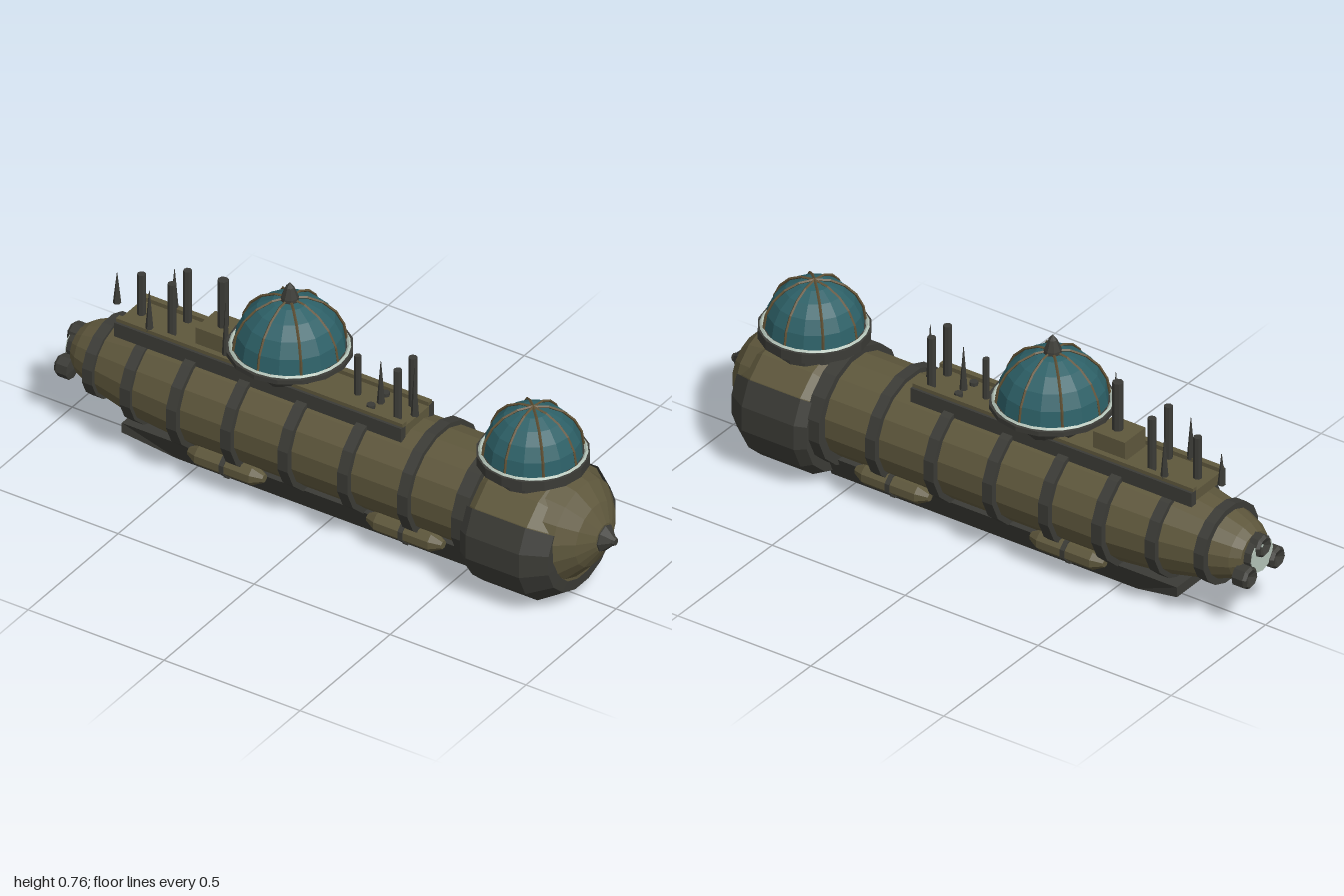
import * as THREE from 'three';

const mat = (name, color) => {
  const m = new THREE.MeshStandardMaterial({ color, flatShading: true, side: THREE.DoubleSide });
  m.name = name;
  return m;
};

export function createModel() {
  const olive = mat('olive plate', 0x5e573c);
  const dark = mat('dark iron', 0x3b3b36);
  const teal = mat('teal glass', 0x2d6067);
  const brass = mat('brown brass', 0x5f5034);
  const pale = mat('pale trim', 0xb4c3b8);

  const model = new THREE.Group();
  const add = (name, geo, material, x = 0, y = 0, z = 0, parent = model) => {
    const mesh = new THREE.Mesh(geo, material);
    mesh.name = name;
    mesh.position.set(x, y, z);
    parent.add(mesh);
    return mesh;
  };

  // Lathe along x from [x, radius] pairs, squashed vertically by sy
  const rad = Math.PI / 180;
  const lathe = (pts, sy = 1, segs = 16, start = -33.75, sweep = 360) =>
    new THREE.LatheGeometry(pts.map(([x, r]) => new THREE.Vector2(r, x)), segs, start * rad, sweep * rad)
      .rotateZ(-Math.PI / 2).scale(1, sy, 1);
  const box = (w, h, d) => new THREE.BoxGeometry(w, h, d);
  const cyl = (rt, rb, h, n = 8) => new THREE.CylinderGeometry(rt, rb, h, n);

  // Hull and its ring bands
  add('hull', lathe([[-0.96, 0], [-0.96, 0.075], [-0.93, 0.098], [-0.85, 0.13], [-0.69, 0.165],
    [-0.5, 0.182], [0.6, 0.182]], 0.92), olive, 0, 0.25);
  const bands = [[-0.85, 0.147], [-0.69, 0.18], [-0.505, 0.203], [-0.305, 0.203], [-0.095, 0.203],
    [0.125, 0.203], [0.345, 0.203]];
  for (const [x, r] of bands) {
    add('hullBand', lathe([[-0.019, r - 0.04], [-0.019, r], [0.019, r], [0.019, r - 0.04]], 0.9), dark, x, 0.25);
  }
  add('headCollar', lathe([[0.53, 0.15], [0.53, 0.212], [0.58, 0.212], [0.58, 0.15]], 0.91), dark, 0, 0.245);

  // Head: olive shell, front cap, dark jaw wrapped below, nose
  add('headShell', lathe([[0.573, 0.1], [0.573, 0.208], [0.61, 0.236], [0.8, 0.234], [0.87, 0.18], [0.875, 0.1]], 0.905),
    olive, 0, 0.219);
  add('headCap', lathe([[0.79, 0.195], [0.875, 0.17], [0.925, 0.113], [0.958, 0.05], [0.96, 0]], 0.94), olive, 0, 0.25);
  add('jaw', lathe([[0.57, 0.15], [0.57, 0.222], [0.605, 0.243], [0.8, 0.243], [0.875, 0.19], [0.878, 0.15]],
    0.905, 11, -33.75, 247.5), dark, 0, 0.217);
  add('nose', lathe([[0.945, 0.045], [0.962, 0.045], [0.99, 0.016], [1, 0.012], [1, 0]], 1, 8, 0), dark, 0, 0.248);

  // Tail nozzles around a pale end disc
  add('tailHub', lathe([[-0.985, 0.058], [-0.95, 0.062]], 1, 12), dark, 0, 0.25);
  add('tailDisc', lathe([[-0.988, 0], [-0.988, 0.057], [-0.982, 0.057]], 1, 12), pale, 0, 0.25);
  for (const [y, z] of [[0.283, 0], [0.205, 0.073], [0.205, -0.073]]) {
    add('tailNozzle', lathe([[-0.985, 0], [-1, 0.03], [-0.99, 0.038], [-0.95, 0.038], [-0.945, 0]], 1, 8), dark, 0, y, z);
  }

  // Keel: side outline with a narrower bottom
  const keelShape = new THREE.Shape([[-0.745, 0.1], [-0.745, 0.065], [-0.57, 0.013], [0.58, 0.013], [0.58, 0.1]]
    .map(([x, y]) => new THREE.Vector2(x, y)));
  const keel = new THREE.ExtrudeGeometry(keelShape, { depth: 0.22, bevelEnabled: false }).translate(0, 0, -0.11);
  const kp = keel.attributes.position;
  for (let i = 0; i < kp.count; i++) if (kp.getY(i) < 0.05) kp.setZ(i, kp.getZ(i) * 0.65);
  add('keel', keel, dark);

  // Side pods with dark straps
  for (const side of [1, -1]) {
    for (const x of [-0.348, 0.31]) {
      add('sidePod', lathe([[-0.138, 0], [-0.138, 0.014], [-0.1, 0.034], [0.1, 0.034], [0.138, 0.014], [0.138, 0]],
        1, 8, 22.5), olive, x, 0.102, side * 0.125);
      add('podStrap', lathe([[-0.008, 0.025], [-0.008, 0.038], [0.008, 0.038], [0.008, 0.025]], 1, 8, 22.5),
        dark, x, 0.102, side * 0.125);
      add('podBracket', box(0.02, 0.04, 0.06), dark, x, 0.075, side * 0.1);
    }
  }

  // Deck with rails along both edges
  add('deck', box(1.055, 0.035, 0.13), olive, -0.258, 0.425);
  for (const side of [1, -1]) {
    add('deckRail', box(1.055, 0.05, 0.026), dark, -0.258, 0.42, side * 0.078);
    add('deckRailCap', box(1.055, 0.014, 0.02), olive, -0.258, 0.45, side * 0.072);
  }
  add('deckHouse', box(0.12, 0.07, 0.11), olive, -0.45, 0.475);

  // Funnels: x, z, top, radius
  const funnels = [[-0.745, 0, 0.59, 0.014], [-0.605, 0.042, 0.63, 0.014], [-0.605, -0.045, 0.63, 0.014],
    [-0.445, 0, 0.68, 0.018], [0.05, 0, 0.585, 0.011], [0.225, 0.042, 0.62, 0.014], [0.225, -0.042, 0.62, 0.014]];
  for (const [x, z, top, r] of funnels) add('funnel', cyl(r, r, top - 0.42), dark, x, (top + 0.42) / 2, z);
  // Spikes: x, z, base, top
  const spikes = [[-0.835, 0, 0.45, 0.56], [-0.67, 0.07, 0.45, 0.595], [-0.67, -0.07, 0.45, 0.595],
    [-0.395, 0.06, 0.45, 0.665], [0.135, 0, 0.44, 0.595], [0.26, 0, 0.44, 0.63]];
  for (const [x, z, y0, y1] of spikes) add('spike', cyl(0.001, 0.013, y1 - y0, 6), dark, x, (y0 + y1) / 2, z);
  for (const z of [0.04, -0.04]) add('deckBollard', cyl(0.014, 0.014, 0.02), dark, 0.125, 0.445, z);

  // Glass dome with ribs, ring and trim; local origin at the glass base
  const makeDome = (name, x, y, r, h, ringR, ringH, ringTaper, segs) => {
    const g = new THREE.Group();
    g.name = name;
    g.position.set(x, y, 0);
    model.add(g);
    add('domeRing', cyl(ringR, ringR, ringH, 16), dark, 0, -ringH / 2, 0, g);
    add('domeRingUnderside', cyl(ringR, ringR * 0.8, ringTaper, 16), dark, 0, -ringH - ringTaper / 2, 0, g);
    add('domeTrim', new THREE.TorusGeometry(r + 0.009, 0.006, 4, 24).rotateX(Math.PI / 2), pale, 0, 0.002, 0, g);
    add('domeGlass', new THREE.SphereGeometry(r, 16, 5, 0, Math.PI * 2, 0, Math.PI / 2).scale(1, h / r, 1), teal, 0, 0, 0, g);
    for (let i = 0; i < segs; i++) {
      const rib = new THREE.TorusGeometry(r + 0.004, 0.0045, 4, 10, Math.PI).scale(1, h / r, 1);
      add('domeRib', rib, brass, 0, 0, 0, g).rotation.y = i * Math.PI / segs;
    }
    return g;
  };

  const mainDome = makeDome('mainDome', -0.2, 0.53, 0.174, 0.173, 0.198, 0.016, 0.018, 4);
  add('domeNeck', cyl(0.135, 0.075, 0.1, 16), dark, 0, -0.08, 0, mainDome);
  add('domeFinial', new THREE.LatheGeometry([[0.03, 0.165], [0.028, 0.18], [0.014, 0.215], [0.001, 0.231]]
    .map(([a, b]) => new THREE.Vector2(a, b)), 8), dark, 0, 0, 0, mainDome);

  const headDome = makeDome('headDome', 0.695, 0.474, 0.155, 0.158, 0.177, 0.033, 0.004, 4);
  add('domeNeck', cyl(0.13, 0.13, 0.07, 16), dark, 0, -0.06, 0, headDome);

  return model;
}
